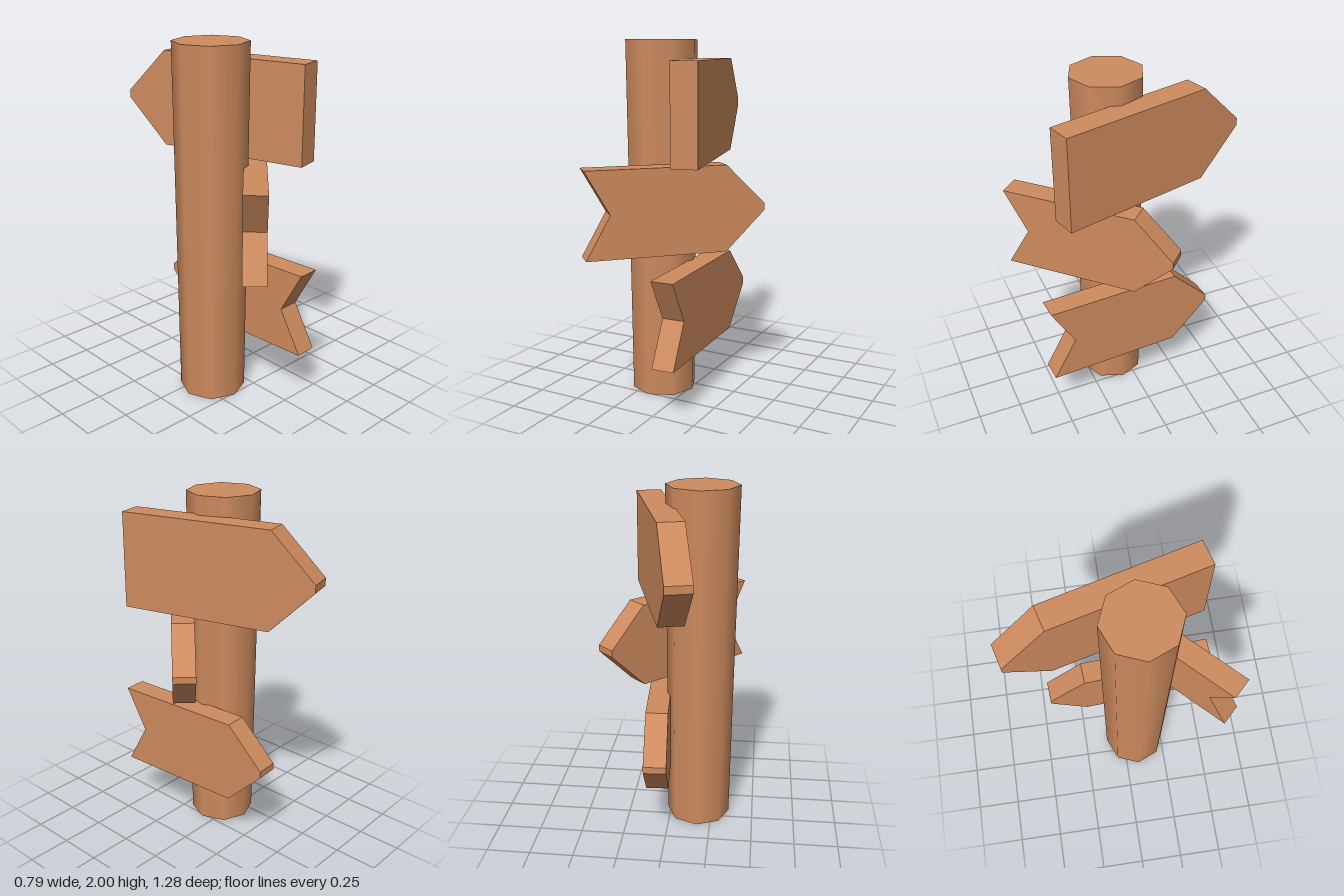
import * as THREE from 'three';

const wood = new THREE.MeshStandardMaterial({ color: 0xce8b5e });
wood.name = 'wood';

// Arrow board running from its tail along +x, centred on y and z
function arrowBoard(name, notch) {
  const length = 0.997, shoulder = 0.776, half = 0.24, blunt = 0.019, thick = 0.127;
  const s = new THREE.Shape();
  s.moveTo(0, -half);
  s.lineTo(shoulder, -half);
  s.lineTo(length, -blunt);
  s.lineTo(length, blunt);
  s.lineTo(shoulder, half);
  s.lineTo(0, half);
  if (notch) s.lineTo(notch, 0);
  s.closePath();
  const geo = new THREE.ExtrudeGeometry(s, { depth: thick, bevelEnabled: false });
  geo.translate(0, 0, -thick / 2);
  const mesh = new THREE.Mesh(geo, wood);
  mesh.name = name;
  return mesh;
}

export function createModel() {
  const model = new THREE.Group();
  model.name = 'signpost';

  // Slightly tapered eight-sided post with smooth sides
  const post = new THREE.Mesh(new THREE.CylinderGeometry(0.204, 0.186, 2, 8), wood);
  post.name = 'post';
  post.position.set(-0.169, 1, 0.076);
  model.add(post);

  // Boards: tail position, tip position (x, z), height, scale, notch depth
  const boards = [
    { name: 'topBoard', tail: [0.175, 0.458], tip: [-0.11, -0.627], y: 1.625, scale: 1.125, notch: 0 },
    { name: 'middleBoard', tail: [-0.355, 0.595], tip: [0.35, -0.11], y: 1.098, scale: 1, notch: 0.134 },
    { name: 'bottomBoard', tail: [0.0975, 0.559], tip: [0.0375, -0.436], y: 0.54, scale: 1, notch: 0.134 },
  ];
  for (const b of boards) {
    const board = arrowBoard(b.name, b.notch);
    board.position.set(b.tail[0], b.y, b.tail[1]);
    board.rotation.y = Math.atan2(b.tail[1] - b.tip[1], b.tip[0] - b.tail[0]);
    board.scale.setScalar(b.scale);
    model.add(board);
  }
  return model;
}
